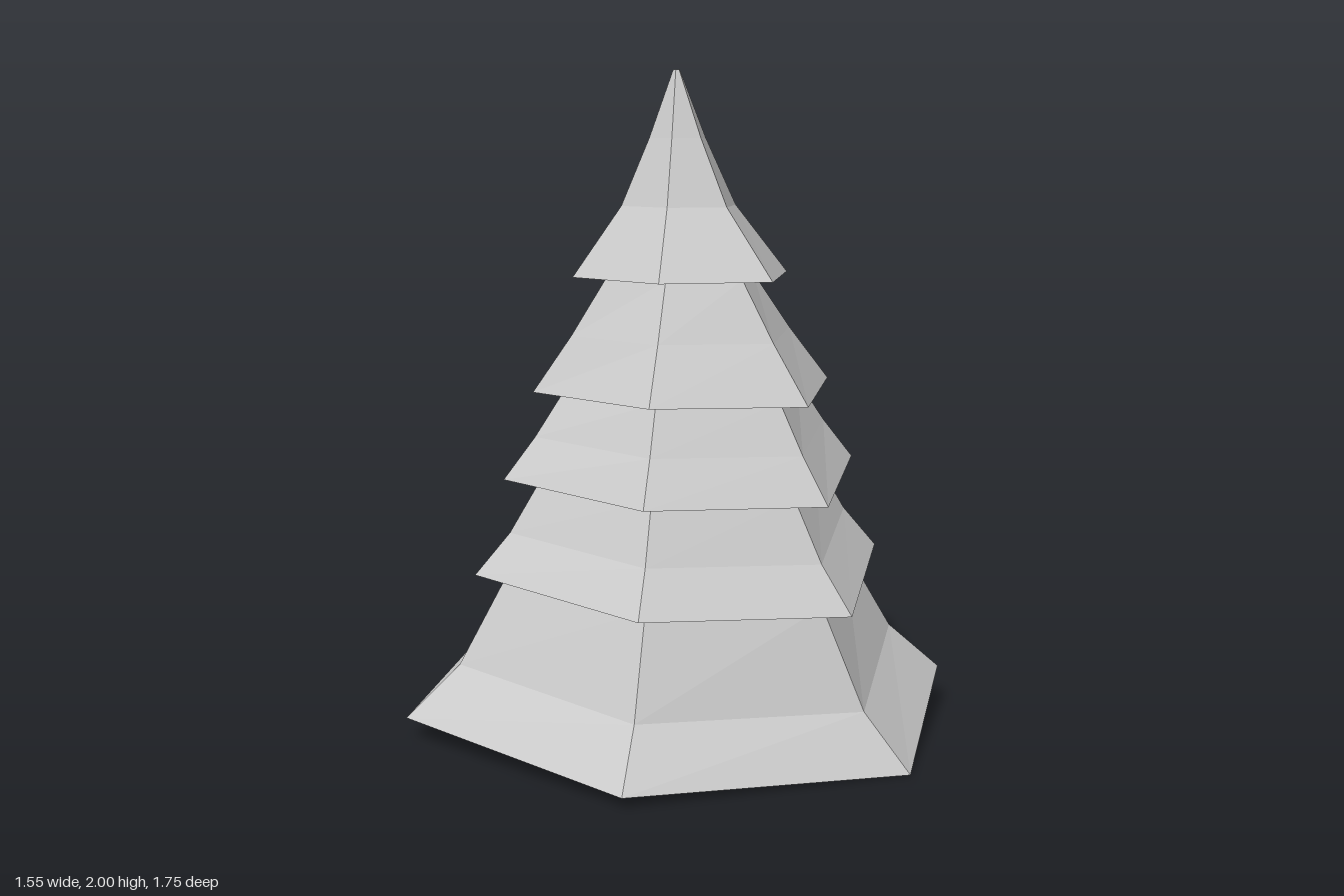
import * as THREE from 'three';

// Skirt rims, bottom to top: six corners [x, y, z] each, from the front corner round by the model's left
const rims = [
  [[-0.01, 0.03, 0.87], [0.74, 0, 0.45], [0.77, 0.11, -0.29], [-0.02, 0.155, -0.88], [-0.78, 0.12, -0.47], [-0.78, 0.065, 0.42]],
  [[0, 0.475, 0.7], [0.565, 0.45, 0.43], [0.57, 0.525, -0.19], [-0.04, 0.56, -0.61], [-0.6, 0.535, -0.35], [-0.585, 0.495, 0.33]],
  [[0, 0.775, 0.63], [0.49, 0.76, 0.4], [0.495, 0.81, -0.17], [-0.04, 0.83, -0.505], [-0.51, 0.81, -0.265], [-0.5, 0.785, 0.3]],
  [[0, 1.05, 0.55], [0.425, 1.04, 0.36], [0.42, 1.06, -0.14], [-0.035, 1.07, -0.37], [-0.43, 1.06, -0.19], [-0.42, 1.045, 0.25]],
  [[0, 1.39, 0.415], [0.31, 1.39, 0.29], [0.3, 1.395, -0.065], [-0.01, 1.4, -0.19], [-0.3, 1.4, -0.07], [-0.3, 1.39, 0.23]],
].map((ring) => ring.map((p) => new THREE.Vector3(...p)));

const necks = [0.84, 0.785, 0.79, 0.68]; // width of each tier's top, relative to the rim above it
const bendHeights = [0.36, 0.43, 0.48, 0.49]; // height of the bend in each tier's slope

const shrink = (ring, scale) => {
  const c = ring.reduce((sum, p) => sum.add(p), new THREE.Vector3()).divideScalar(ring.length);
  return ring.map((p) => c.clone().lerp(p, scale));
};

// Flat panels joining a stack of rings
function skin(rings) {
  const pos = [];
  const tri = (a, b, c) => {
    if (a.equals(b) || b.equals(c) || c.equals(a)) return;
    for (const p of [a, b, c]) pos.push(p.x, p.y, p.z);
  };
  for (let r = 0; r < rings.length - 1; r++) {
    const lo = rings[r], hi = rings[r + 1];
    for (let i = 0; i < lo.length; i++) {
      const j = (i + 1) % lo.length;
      tri(lo[i], lo[j], hi[j]);
      tri(lo[i], hi[j], hi[i]);
    }
  }
  const geo = new THREE.BufferGeometry();
  geo.setAttribute('position', new THREE.Float32BufferAttribute(pos, 3));
  geo.computeVertexNormals();
  return geo;
}

export function createModel() {
  const tree = new THREE.Group();
  tree.name = 'tree';
  const material = new THREE.MeshStandardMaterial({ color: 0xcccccc, flatShading: true });
  const apex = new THREE.Vector3(-0.01, 2, 0.105);

  rims.forEach((rim, k) => {
    // Underside: closed base on the lowest tier, overhang on the others
    const rings = [shrink(rim, k ? necks[k - 1] : 0), rim];
    if (k < rims.length - 1) {
      const neck = shrink(rims[k + 1], necks[k]);
      const bend = rim.map((p, i) => {
        const q = p.clone().lerp(neck[i], 0.52);
        q.y = THREE.MathUtils.lerp(p.y, neck[i].y, bendHeights[k]);
        return q;
      });
      rings.push(bend, neck);
    } else {
      // Concave spire
      for (const [scale, y] of [[0.53, 1.6], [0.26, 1.8], [0.03, 2], [0, 2]]) {
        rings.push(rim.map((p) => apex.clone().lerp(p, scale).setY(y)));
      }
    }
    const mesh = new THREE.Mesh(skin(rings), material);
    mesh.name = k < rims.length - 1 ? `branchTier${k + 1}` : 'treeTop';
    tree.add(mesh);
  });
  return tree;
}
